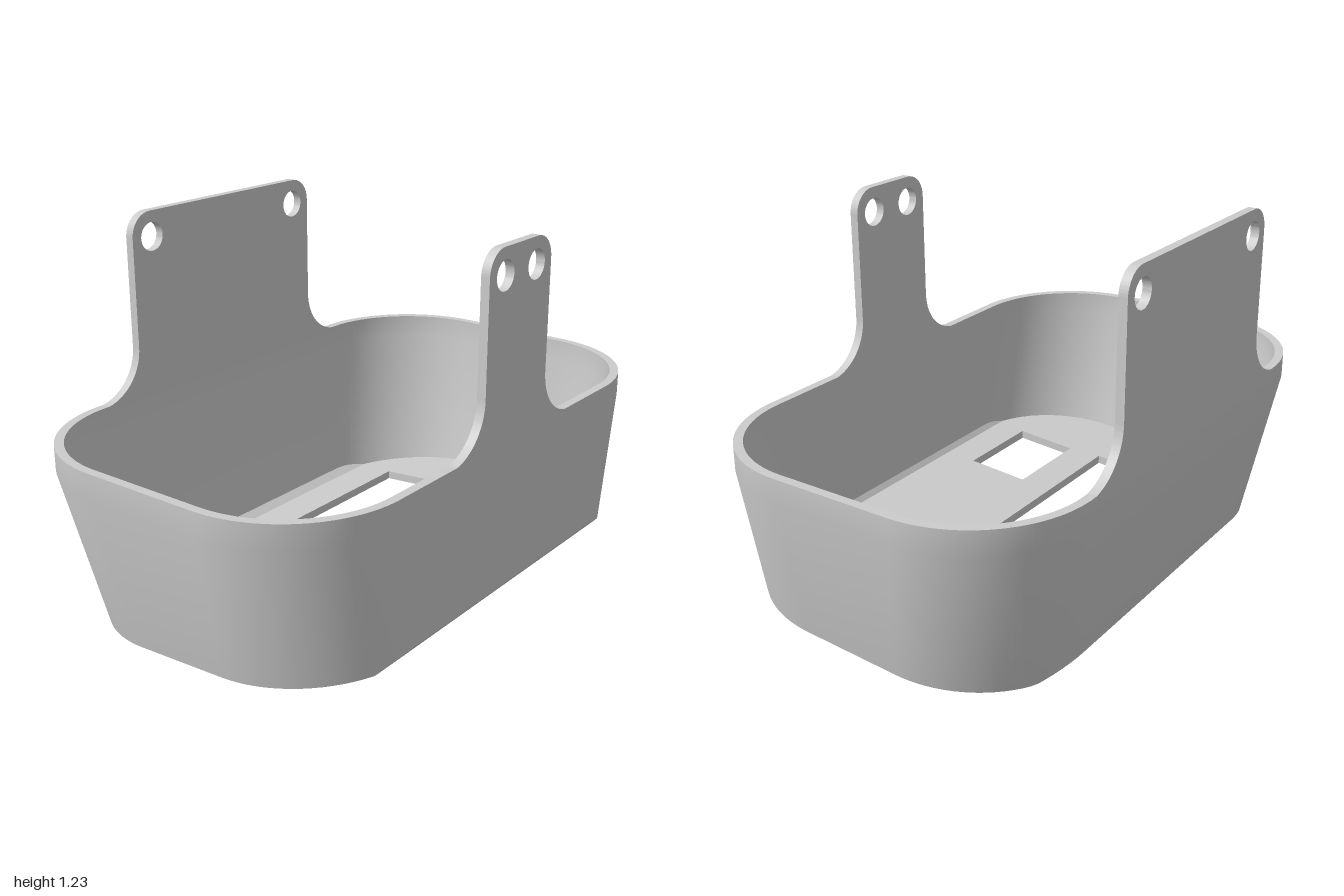
import * as THREE from 'three';
import { toCreasedNormals, mergeGeometries } from 'three/addons/utils/BufferGeometryUtils.js';

const WALL = 0.03, RIM = 0.612, BEND = 0.53, RADIUS = 0.4, STEPS = 24;
const material = new THREE.MeshStandardMaterial({ color: 0xcccccc });

// Sloping underside of the tray
const floorY = (x) => 0.037 + 0.0755 * x;

// Rounded-rectangle point at a height; corner 0..3, angle a
function outlinePoint(corner, a, y, inset) {
  const t = Math.max(0, BEND - y), r = RADIUS - inset;
  const x0 = -0.61 + 0.16 * t + inset, x1 = 0.61 - inset, zh = 1 - 0.19 * t - inset;
  const cx = corner === 0 || corner === 3 ? x1 - r : x0 + r;
  const cz = corner < 2 ? zh - r : r - zh;
  return new THREE.Vector3(cx + r * Math.cos(a), y, cz + r * Math.sin(a));
}

function ring(fn) {
  const pts = [];
  for (let c = 0; c < 4; c++)
    for (let i = 0; i <= STEPS; i++) pts.push(fn(c, (c + i / STEPS) * Math.PI / 2));
  return pts;
}

const levelRing = (y, inset) => ring((c, a) => outlinePoint(c, a, y, inset));

// Lower edge of a wall: follows the sloping floor and the two side chamfers
function lowerRing(inset, lift, xMin, xMax) {
  return ring((c, a) => {
    let p, y = 0.05;
    for (let k = 0; k < 8; k++) {
      p = outlinePoint(c, a, y, inset);
      const cx = THREE.MathUtils.clamp(p.x, xMin, xMax);
      y = floorY(cx) + lift + (p.x < cx ? 0.6 : 1.17) * Math.abs(p.x - cx);
    }
    p.y = y;
    return p;
  });
}

// Floor outline, where the chamfers meet the flat
const floorRing = (edge, lift, xMin, xMax) => edge.map((p) => {
  const x = THREE.MathUtils.clamp(p.x, xMin, xMax);
  return new THREE.Vector3(x, floorY(x) + lift, p.z);
});

// Skin a series of closed rings
function loft(rings) {
  const pos = [], idx = [], n = rings[0].length;
  rings.forEach((r) => r.forEach((p) => pos.push(p.x, p.y, p.z)));
  for (let j = 0; j < rings.length - 1; j++)
    for (let i = 0; i < n; i++) {
      const a = j * n + i, b = j * n + (i + 1) % n;
      idx.push(a, a + n, b + n, a, b + n, b);
    }
  const g = new THREE.BufferGeometry();
  g.setAttribute('position', new THREE.Float32BufferAttribute(pos, 3));
  g.setIndex(idx);
  return g;
}

// Rectangular openings in the floor: [x0, x1, z0, z1]
const openings = [[-0.33, 0.10, -0.63, 0.625], [0.22, 0.45, 0.27, 0.605]];
const corners = ([x0, x1, z0, z1]) => [[x0, z0], [x1, z0], [x1, z1], [x0, z1]];

// Sloping floor face with openings
function floorFace(outline, lift, up) {
  const flat = (pts) => pts.map(([x, z]) => new THREE.Vector2(x, z));
  const shape = new THREE.Shape(flat(outline.map((p) => [p.x, p.z])));
  openings.forEach((o) => shape.holes.push(new THREE.Path(flat(corners(o)))));
  const g = new THREE.ShapeGeometry(shape);
  const p = g.attributes.position;
  for (let i = 0; i < p.count; i++) {
    const x = p.getX(i), z = p.getY(i);
    p.setXYZ(i, x, floorY(x) + lift, z);
  }
  if (up) g.index.array.reverse();
  g.deleteAttribute('normal');
  g.deleteAttribute('uv');
  return g;
}

function trayGeometry() {
  const outerEdge = lowerRing(0, 0, -0.48, 0.58);
  const innerEdge = lowerRing(WALL, WALL, -0.472, 0.565);
  const under = floorRing(outerEdge, 0, -0.48, 0.58);
  const inside = floorRing(innerEdge, WALL, -0.472, 0.565);
  const parts = [
    loft([under, outerEdge, levelRing(BEND, 0), levelRing(RIM, 0),
      levelRing(RIM, WALL), levelRing(BEND, WALL), innerEdge, inside]),
    floorFace(under, 0, false),
    floorFace(inside, WALL, true),
  ];
  // Sides of the floor openings
  openings.forEach((o) => {
    const at = (lift) => corners(o).map(([x, z]) => new THREE.Vector3(x, floorY(x) + lift, z));
    parts.push(loft([at(WALL), at(0)]));
  });
  return toCreasedNormals(mergeGeometries(parts), 0.5);
}

// Upright hanging tab with flared foot, rounded top and two screw holes
function tabGeometry(half, holeZ) {
  const top = 1.226, flare = 0.17, r = 0.08, base = RIM - 0.002;
  const s = new THREE.Shape();
  s.moveTo(-half - flare, base);
  s.lineTo(half + flare, base);
  s.absarc(half + flare, base + flare, flare, -Math.PI / 2, -Math.PI, true);
  s.absarc(half - r, top - r, r, 0, Math.PI / 2, false);
  s.absarc(r - half, top - r, r, Math.PI / 2, Math.PI, false);
  s.absarc(-half - flare, base + flare, flare, 0, -Math.PI / 2, true);
  for (const z of [-holeZ, holeZ]) {
    const hole = new THREE.Path();
    hole.absarc(z, 1.14, 0.048, 0, Math.PI * 2, true);
    s.holes.push(hole);
  }
  const g = new THREE.ExtrudeGeometry(s, { depth: WALL, bevelEnabled: false, curveSegments: 20 });
  g.rotateY(Math.PI / 2);
  return toCreasedNormals(g, 0.5);
}

export function createModel() {
  const group = new THREE.Group();
  const add = (name, geometry, x = 0) => {
    const mesh = new THREE.Mesh(geometry, material);
    mesh.name = name;
    mesh.position.x = x;
    group.add(mesh);
  };
  add('tray', trayGeometry());
  add('narrowTab', tabGeometry(0.174, 0.088), 0.61 - WALL);
  add('wideTab', tabGeometry(0.437, 0.352), -0.61);
  return group;
}
